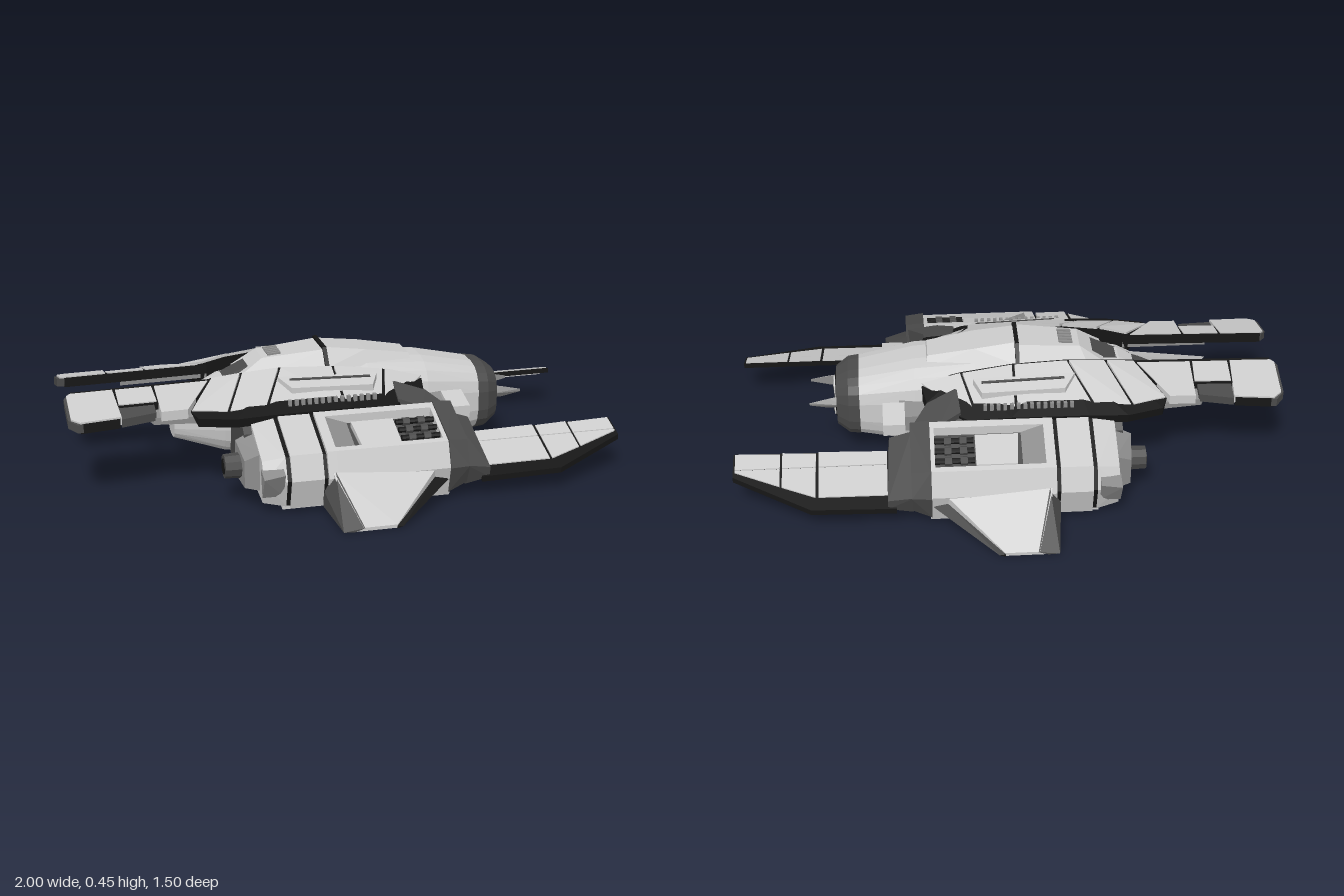
import * as THREE from 'three';
import { ConvexGeometry } from 'three/addons/geometries/ConvexGeometry.js';

const mat = (color) => new THREE.MeshStandardMaterial({ color, flatShading: true });
const LIGHT = mat(0xcccccc), MID = mat(0x8c8c8c), DARK = mat(0x4a4a4a), BLACK = mat(0x161616);

export function createModel() {
  const model = new THREE.Group();
  const add = (name, geo, material, parent = model) => {
    const mesh = new THREE.Mesh(geo, material);
    mesh.name = name;
    parent.add(mesh);
    return mesh;
  };
  const hull = (name, pts, material, parent) =>
    add(name, new ConvexGeometry(pts.map((p) => new THREE.Vector3(...p))), material, parent);
  // Cylinder lying along x
  const rod = (name, x0, x1, y, z, r0, r1, material, parent, sides = 12) => {
    const geo = new THREE.CylinderGeometry(r1, r0, x1 - x0, sides);
    geo.rotateZ(-Math.PI / 2).translate((x0 + x1) / 2, y, z);
    return add(name, geo, material, parent);
  };

  // Rounded ring at x, half width w, from y0 to y1
  const ring = ([x, w, y0, y1], n = 20) => Array.from({ length: n }, (_, i) => {
    const a = ((i + 0.5) / n) * Math.PI * 2, c = Math.cos(a), s = Math.sin(a);
    const pw = (v) => Math.sign(v) * Math.abs(v) ** 0.7;
    return [x, (y0 + y1) / 2 + pw(s) * (y1 - y0) / 2, pw(c) * w];
  });
  const body = (name, stations, material) => {
    for (let i = 0; i < stations.length - 1; i++)
      hull(name, [...ring(stations[i]), ...ring(stations[i + 1])], material);
  };

  // Fuselage and blunt nose
  body('fuselage', [
    [-0.6, 0.07, 0.13, 0.26], [-0.42, 0.12, 0.07, 0.35], [-0.15, 0.16, 0.025, 0.39],
    [0.12, 0.165, 0.018, 0.395], [0.34, 0.165, 0.04, 0.382], [0.55, 0.14, 0.08, 0.338]], LIGHT);
  body('hullSeam', [[-0.155, 0.163, 0.022, 0.393], [-0.14, 0.163, 0.022, 0.393]], DARK);
  body('noseCollar', [[0.545, 0.142, 0.076, 0.34], [0.585, 0.138, 0.08, 0.335], [0.63, 0.105, 0.11, 0.305]], DARK);
  rod('noseFace', 0.626, 0.634, 0.21, 0, 0.085, 0.085, BLACK, model, 20);
  for (const [y, z, r] of [[0.248, 0, 0.036], [0.178, 0.042, 0.028], [0.178, -0.042, 0.028]]) {
    rod('noseNozzle', 0.61, 0.64, y, z, r, r, LIGHT, model, 16);
    rod('nozzleBore', 0.635, 0.643, y, z, r * 0.6, r * 0.6, DARK, model, 16);
  }
  // Canopy, with a raised rear deck
  hull('canopy', [-1, 1].flatMap((s) => [
    [-0.04, 0.445, 0.06 * s], [-0.04, 0.38, 0.12 * s], [0.29, 0.397, 0.055 * s],
    [0.3, 0.36, 0.08 * s], [0.12, 0.425, 0.065 * s]]), LIGHT);
  hull('rearDeck', [-1, 1].flatMap((s) => [
    [-0.04, 0.44, 0.075 * s], [-0.04, 0.37, 0.13 * s], [-0.27, 0.42, 0.06 * s],
    [-0.36, 0.36, 0.08 * s], [-0.3, 0.36, 0.11 * s]]), LIGHT);
  hull('canopyFrame', [-1, 1].flatMap((s) => [-0.045, -0.03].flatMap((x) => [
    [x, 0.449, 0.076 * s], [x, 0.38, 0.132 * s]])), BLACK);
  for (let i = -2; i <= 2; i++)
    add('deckSlat', new THREE.BoxGeometry(0.05, 0.008, 0.012).rotateZ(0.087).translate(-0.22, 0.427, i * 0.02), MID);
  hull('tailSpine', [-1, 1].flatMap((s) => [
    [-0.32, 0.39, 0.045 * s], [-0.32, 0.32, 0.06 * s], [-0.58, 0.275, 0.025 * s], [-0.58, 0.24, 0.03 * s]]), DARK);

  for (const s of [1, -1]) {
    const side = new THREE.Group();
    side.name = s > 0 ? 'leftSide' : 'rightSide';
    model.add(side);
    const shape = (name, pts, m) => hull(name, pts.map(([x, y, z]) => [x, y, z * s]), m, side);
    // Sheet of thickness t over an [x, z] outline, resting under top(x, z)
    const plate = (name, outline, top, t, m) =>
      shape(name, outline.flatMap(([x, z]) => [[x, top(x, z), z], [x, top(x, z) - t, z]]), m);
    // Constant [z, y] profile swept from x0 to x1
    const prism = (name, profile, x0, x1, m) =>
      shape(name, profile.flatMap(([z, y]) => [[x0, y, z], [x1, y, z]]), m);

    // Nose prong and tail prong
    shape('noseProng', [[0.6, 0.25, 0.075], [0.6, 0.195, 0.075], [0.6, 0.22, 0.1], [0.66, 0.24, 0.08],
      [0.73, 0.225, 0.083], [0.73, 0.215, 0.083], [0.66, 0.2, 0.08]], MID);
    shape('tailProng', [[-0.76, 0.283, 0.05], [-0.76, 0.265, 0.08], [-0.74, 0.26, 0.05], [-0.38, 0.34, 0.02],
      [-0.38, 0.31, 0.085], [-0.4, 0.25, 0.03], [-0.55, 0.25, 0.09]], LIGHT);

    // Shoulder with raked seams: inner x, z, y then outer x, z, y
    const shoulder = [[-0.47, 0.1, 0.372, -0.57, 0.26, 0.312], [-0.36, 0.12, 0.39, -0.44, 0.295, 0.31],
      [-0.22, 0.13, 0.402, -0.3, 0.295, 0.315], [-0.02, 0.13, 0.392, -0.02, 0.295, 0.318],
      [0.17, 0.14, 0.37, 0.13, 0.285, 0.305], [0.32, 0.14, 0.332, 0.28, 0.18, 0.32]];
    for (let i = 0; i < shoulder.length - 1; i++) {
      const pair = (f) => [...f(shoulder[i], 0.005), ...f(shoulder[i + 1], -0.005)];
      shape('shoulderPanel', pair(([xi, zi, yi, xo, zo, yo], g) => [
        [xi + g, yi, zi], [xo + g, yo, zo], [xi + g, yi - 0.04, zi], [xo + g, yo - 0.03, zo]]), LIGHT);
      shape('shoulderCore', pair(([xi, zi, yi, xo, zo, yo]) => [
        [xi, yi - 0.006, zi - 0.015], [xo, yo - 0.006, zo], [xo + 0.02, yo - 0.018, zo + 0.045],
        [xo + 0.02, yo - 0.05, zo + 0.04], [xi, yi - 0.08, zi - 0.01]]), BLACK);
    }
    for (let i = 0; i < 14; i++)
      add('shoulderVent', new THREE.BoxGeometry(0.013, 0.022, 0.014)
        .translate(-0.22 + i * 0.024, 0.322, 0.3 * s), MID, side);
    const rib = (lift) => (x, z) => 0.466 + lift - 0.43 * z - 0.08 * Math.max(x, -0.02);
    plate('shoulderRib', [[-0.24, 0.19], [0.13, 0.19], [0.1, 0.25], [-0.2, 0.25]], rib(0), 0.03, LIGHT);
    plate('ribGroove', [[-0.2, 0.205], [0.1, 0.205], [0.1, 0.212], [-0.2, 0.212]], rib(0.003), 0.01, DARK);

    // Rear arm: tilted panels with dark inner rim and outer block
    const arm = (d) => (x, z) => 0.388 - d - 0.26 * z + 0.02 * (x + 0.55);
    plate('armCore', [[-0.975, 0.085], [-0.45, 0.085], [-0.54, 0.2], [-0.975, 0.2]], arm(0.004), 0.035, BLACK);
    plate('armTip', [[-0.99, 0.11], [-0.975, 0.098], [-0.825, 0.098], [-0.815, 0.27], [-0.96, 0.28], [-0.99, 0.255]],
      arm(0), 0.03, LIGHT);
    plate('armTipRim', [[-1, 0.12], [-0.98, 0.09], [-0.96, 0.09], [-0.95, 0.284], [-0.97, 0.284], [-1, 0.25]],
      arm(0.006), 0.03, DARK);
    plate('armTipSkirt', [[-0.96, 0.24], [-0.82, 0.24], [-0.82, 0.272], [-0.96, 0.282]], arm(0.006), 0.035, BLACK);
    plate('armPanel', [[-0.815, 0.1], [-0.685, 0.1], [-0.68, 0.195], [-0.815, 0.195]], arm(0), 0.03, LIGHT);
    plate('armBlock', [[-0.815, 0.195], [-0.69, 0.195], [-0.69, 0.25], [-0.815, 0.27]], arm(0.01), 0.03, DARK);
    plate('armPanel', [[-0.675, 0.1], [-0.48, 0.1], [-0.58, 0.265], [-0.675, 0.265]], arm(0), 0.035, LIGHT);
    plate('armUnderside', [[-0.77, 0.11], [-0.45, 0.09], [-0.42, 0.28], [-0.7, 0.25]], arm(0.03), 0.025, MID);

    // Wing root filling the space between fuselage and nacelle
    shape('wingRoot', [-0.4, 0.24].flatMap((x) => [
      [x, 0.33, 0.1], [x, 0.28, 0.31], [x, 0.24, 0.36], [x, 0.05, 0.36], [x, 0.08, 0.1]]), DARK);
    plate('bellyPanel', [[-0.3, 0.13], [0.2, 0.13], [0.25, 0.25], [0.25, 0.52], [-0.3, 0.52]],
      (x, z) => 0.106 - 0.155 * z, 0.014, LIGHT);

    // Outer nacelle in stepped segments, with an open bay in the main one
    const top = (lift) => (x, z) => 0.424 - 0.38 * z + lift;
    const section = (d) => [[0.34, 0.295 - d], [0.54 - d, 0.219 - d], [0.575 - d, 0.13],
      [0.545 - d, 0.018 + d], [0.3, 0.05 + d]];
    prism('nacelleCore', section(0.012), -0.3, -0.12, BLACK);
    prism('nacelleMiddle', section(0.004), -0.275, -0.16, LIGHT);
    prism('nacelleMain', section(0), -0.145, -0.11, LIGHT);
    prism('nacelleMain', section(0), 0.28, 0.3, LIGHT);
    prism('bayInnerWall', [[0.3, 0.05], [0.34, 0.295], [0.365, 0.285], [0.365, 0.042]], -0.11, 0.28, LIGHT);
    prism('bayOuterWall', [[0.522, 0.226], [0.54, 0.219], [0.575, 0.13], [0.545, 0.018], [0.522, 0.02]], -0.11, 0.28, LIGHT);
    prism('bayFloor', [[0.36, 0.254], [0.53, 0.19], [0.53, 0.02], [0.36, 0.042]], -0.11, 0.28, DARK);
    shape('bayRamp', [[-0.11, 0.283, 0.365], [-0.11, 0.225, 0.522], [-0.03, 0.254, 0.365], [-0.03, 0.195, 0.522],
      [-0.11, 0.2, 0.365], [-0.11, 0.18, 0.522]], MID);
    plate('bayHatch', [[-0.02, 0.385], [0.135, 0.385], [0.135, 0.505], [-0.01, 0.505]], top(-0.014), 0.025, LIGHT);
    for (const z of [0.405, 0.445, 0.485]) {
      const y = top(-0.016)(0, z);
      rod('gunBarrel', 0.14, 0.28, y, z * s, 0.011, 0.011, BLACK, side, 8);
      for (const x of [0.165, 0.22]) rod('gunSleeve', x, x + 0.025, y, z * s, 0.016, 0.016, DARK, side, 8);
    }

    // Nacelle rear with its engine
    shape('nacelleRear', [...section(0.01).map(([z, y]) => [-0.29, y, z]),
      ...section(0.025).map(([z, y]) => [-0.37, y, z])], LIGHT);
    shape('nacelleTail', [[-0.36, 0.25, 0.34], [-0.36, 0.21, 0.48], [-0.36, 0.07, 0.48], [-0.36, 0.08, 0.33],
      [-0.43, 0.22, 0.35], [-0.42, 0.18, 0.46], [-0.42, 0.08, 0.46], [-0.43, 0.09, 0.34]], MID);
    rod('nacelleEngine', -0.48, -0.41, 0.14, 0.388 * s, 0.043, 0.046, DARK, side, 10);
    rod('engineBore', -0.483, -0.478, 0.14, 0.388 * s, 0.028, 0.028, BLACK, side, 10);
    shape('tailFlap', [[-0.3, 0.18, 0.52], [-0.3, 0.07, 0.54], [-0.3, 0.16, 0.58], [-0.375, 0.17, 0.52],
      [-0.375, 0.07, 0.54], [-0.375, 0.15, 0.583]], MID);

    // Dark bracket joining the hull, nacelle and front blade
    shape('bracket', [...section(-0.006).map(([z, y]) => [0.295, Math.max(y, 0.03), z]),
      ...section(0).map(([z, y]) => [0.365, Math.max(y, 0.06), z])], DARK);
    shape('bracketArm', [[0.18, 0.305, 0.3], [0.26, 0.285, 0.35], [0.365, 0.27, 0.35], [0.3, 0.31, 0.24],
      [0.19, 0.338, 0.19], [0.18, 0.2, 0.3], [0.365, 0.14, 0.35], [0.26, 0.16, 0.19]], DARK);
    shape('bladeMount', [[0.36, 0.25, 0.33], [0.36, 0.13, 0.57], [0.36, 0.05, 0.54], [0.36, 0.08, 0.32],
      [0.44, 0.22, 0.32], [0.45, 0.11, 0.553], [0.45, 0.07, 0.545], [0.45, 0.12, 0.32]], DARK);
    shape('sidePod', [0.29, 0.4].flatMap((x) => [[x, 0.27, 0.15], [x, 0.25, 0.235], [x, 0.19, 0.235], [x, 0.18, 0.15]]), MID);
    shape('podTip', [0.38, 0.46].flatMap((x) => [[x, 0.278, 0.18], [x, 0.25, 0.285], [x, 0.205, 0.285], [x, 0.205, 0.18]]), LIGHT);
    // Grille in a frame, on the front of the wing root
    const grille = (g) => [[0.185 + g, 0.218 - g], [0.275 - g, 0.205 - g], [0.26 - g, 0.115 + g], [0.175 + g, 0.125 + g]];
    prism('grilleFrame', grille(0), 0.23, 0.345, MID);
    prism('grille', grille(0.012), 0.33, 0.35, BLACK);

    // Front blade with black outer rim and paneled top
    const blade = (lift) => (x, z) => 0.167 - 0.33 * (z - 0.31) + 0.008 * (x - 1) + lift;
    plate('bladeCore', [[0.42, 0.315], [1, 0.308], [1, 0.405], [0.72, 0.55], [0.42, 0.555]], blade(-0.004), 0.02, BLACK);
    const mid = (x) => 0.375 + (x - 0.45) * 0.01;
    const outer = (x) => (x < 0.71 ? 0.5 : 0.5 - (x - 0.71) * 0.4);
    for (const [x0, x1] of [[0.45, 0.695], [0.705, 0.825], [0.833, 0.993]]) {
      plate('bladeInnerPanel', [[x0, 0.317], [x1, 0.312], [x1, mid(x1) - 0.004], [x0, mid(x0) - 0.004]], blade(0), 0.014, LIGHT);
      plate('bladeOuterPanel', [[x0, mid(x0)], [x1, mid(x1)], [x1, outer(x1)], [x0, outer(x0)]], blade(0), 0.014, LIGHT);
    }
    plate('bladeUnderside', [[0.46, 0.33], [0.97, 0.325], [0.97, 0.39], [0.72, 0.52], [0.46, 0.525]], blade(-0.015), 0.013, LIGHT);

    // Lower fin, tapering to its tip, with dark leading and trailing faces
    shape('fin', [[-0.13, 0.155, 0.56], [0.25, 0.135, 0.56], [0.25, 0.05, 0.55], [-0.13, 0.02, 0.545],
      [-0.07, 0.014, 0.75], [0.05, 0.014, 0.75], [-0.1, 0.002, 0.75], [0.05, 0.002, 0.75]], LIGHT);
    shape('finTrailingEdge', [[-0.16, 0.08, 0.56], [-0.12, 0.152, 0.565], [-0.16, 0.02, 0.545], [-0.1, 0.02, 0.55],
      [-0.14, 0.004, 0.752], [-0.065, 0.013, 0.752], [-0.1, 0.002, 0.752]], DARK);
    shape('finLeadingEdge', [[0.25, 0.105, 0.555], [0.29, 0.085, 0.565], [0.25, 0.055, 0.55],
      [0.048, 0.01, 0.752], [0.07, 0.007, 0.752], [0.048, 0, 0.752]], BLACK);
  }
  return model;
}
